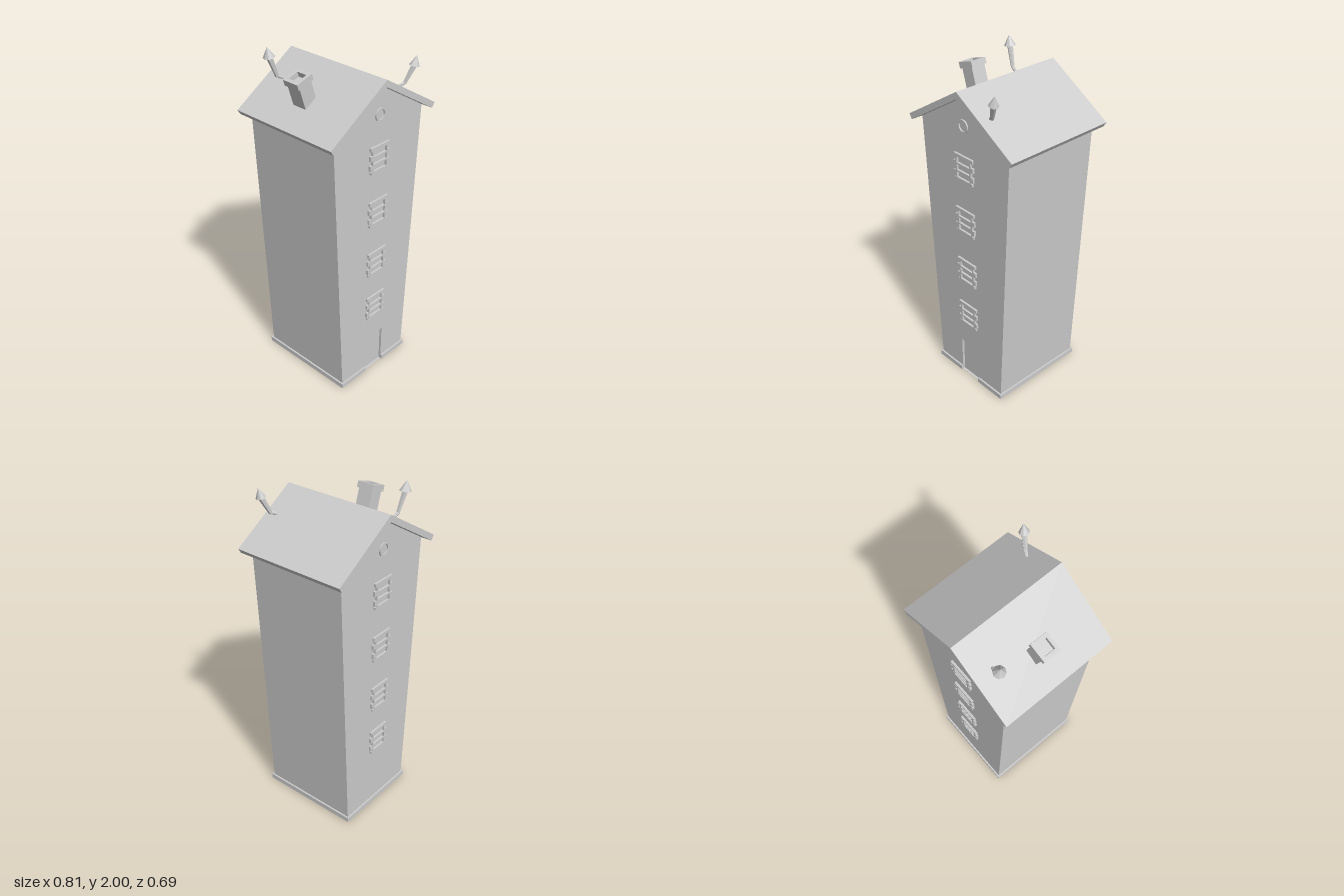
import * as THREE from 'three';

const material = new THREE.MeshStandardMaterial({ color: 0xcccccc, flatShading: true, side: THREE.DoubleSide });

function add(parent, name, geometry, x = 0, y = 0, z = 0) {
  const mesh = new THREE.Mesh(geometry, material);
  mesh.name = name;
  mesh.position.set(x, y, z);
  parent.add(mesh);
  return mesh;
}

const polygon = (points) => new THREE.Shape(points.map(([x, y]) => new THREE.Vector2(x, y)));
const rectangle = (w, h, y = 0) => polygon([[-w, y], [w, y], [w, y + h], [-w, y + h]]);
const extrude = (shape, depth) => new THREE.ExtrudeGeometry(shape, { depth, bevelEnabled: false, curveSegments: 8 });

// Outline given by its right half, mirrored to the left
function mirrored(half) {
  return polygon([...half, ...half.slice().reverse().map(([x, y]) => [-x, y])]);
}

// Tapered round bar between two points
function bar(parent, name, a, b, rA, rB, sides) {
  const dir = b.clone().sub(a);
  const mid = a.clone().add(b).multiplyScalar(0.5);
  const mesh = add(parent, name, new THREE.CylinderGeometry(rB, rA, dir.length(), sides), mid.x, mid.y, mid.z);
  mesh.quaternion.setFromUnitVectors(new THREE.Vector3(0, 1, 0), dir.normalize());
}

// Window surround with stepped side blocks and three openings
function windowGeometry() {
  const half = [
    [0.07, -0.079], [0.07, -0.064], [0.061, -0.064], [0.061, -0.054],
    [0.078, -0.054], [0.078, -0.024], [0.061, -0.024], [0.061, 0.004],
    [0.078, 0.004], [0.078, 0.034], [0.061, 0.034], [0.061, 0.058],
    [0.074, 0.058], [0.074, 0.079],
  ];
  const shape = mirrored(half);
  for (const y of [-0.062, -0.018, 0.026]) shape.holes.push(rectangle(0.05, 0.034, y));
  return extrude(shape, 0.013);
}

// Bent roof pipe with a pointed cap
function roofPipe(points, capRadius) {
  const group = new THREE.Group();
  group.name = 'roofPipe';
  const [foot, elbow, top, tip] = points.map((p) => new THREE.Vector3(...p));
  bar(group, 'pipeFoot', foot, elbow, 0.008, 0.011, 6);
  bar(group, 'pipeStem', elbow, top, 0.011, 0.017, 6);
  bar(group, 'pipeCap', top, tip, capRadius, 0, 8);
  return group;
}

export function createModel() {
  const model = new THREE.Group();
  const depth = 0.305, thick = 0.015, door = 0.077;

  // Hollow tower, flaring upward and open underneath
  const sides = mirrored([[0.271, 0], [0.344, 1.66], [0, 1.873]]);
  sides.holes.push(mirrored([[0.259, 0.0005], [0.331, 1.652], [0, 1.857]]));
  add(model, 'sideWalls', extrude(sides, depth * 2), 0, 0, -depth);
  add(model, 'backWall', extrude(mirrored([[0.271, 0], [0.344, 1.66], [0, 1.873]]), thick), 0, 0, -depth);
  const front = mirrored([[door, 0.245], [door, 0], [0.271, 0], [0.344, 1.66], [0, 1.873]]);
  add(model, 'frontWall', extrude(front, thick), 0, 0, depth - thick);
  add(model, 'door', new THREE.BoxGeometry(door * 2 + 0.01, 0.25, 0.006), 0, 0.125, depth - thick - 0.003);

  // Base trim, interrupted at the door
  const baseX = 0.283, baseZ = 0.316, rim = 0.024;
  for (const s of [-1, 1]) {
    add(model, 'baseSide', new THREE.BoxGeometry(rim, 0.03, baseZ * 2), s * (baseX - rim / 2), 0.015, 0);
    add(model, 'baseFront', new THREE.BoxGeometry(baseX - door, 0.03, rim),
      s * (baseX + door) / 2, 0.015, baseZ - rim / 2);
  }
  add(model, 'baseBack', new THREE.BoxGeometry(baseX * 2, 0.03, rim), 0, 0.015, -baseZ + rim / 2);

  // Gabled roof slab
  const roof = polygon([[0, 1.915], [-0.405, 1.665], [-0.386, 1.636], [0, 1.875], [0.386, 1.636], [0.405, 1.665]]);
  add(model, 'roof', extrude(roof, 0.693), 0, 0, -0.3465);

  // Windows and round gable vents on both faces
  const surround = windowGeometry();
  const ring = new THREE.Shape().absarc(0, 0, 0.038, 0, Math.PI * 2);
  ring.holes.push(new THREE.Path().absarc(0, 0, 0.029, 0, Math.PI * 2, true));
  const vent = extrude(ring, 0.008);
  for (const turn of [0, Math.PI]) {
    const face = new THREE.Group();
    face.name = turn ? 'backWindows' : 'frontWindows';
    face.rotation.y = turn;
    for (const y of [0.479, 0.792, 1.132, 1.465]) add(face, 'window', surround, 0, y, depth);
    add(face, 'gableVent', vent, 0, 1.715, depth);
    model.add(face);
  }

  // Leaning chimney, its origin at the top of the cap
  const chimney = new THREE.Group();
  chimney.name = 'chimney';
  chimney.position.set(-0.282, 1.915, -0.004);
  chimney.rotation.z = 0.3;
  const cap = rectangle(0.054, 0.102, -0.051);
  cap.holes.push(rectangle(0.032, 0.064, -0.032));
  add(chimney, 'chimneyCap', extrude(cap, 0.035), 0, -0.035, 0).rotation.x = -Math.PI / 2;
  add(chimney, 'chimneyStack', new THREE.BoxGeometry(0.084, 0.17, 0.09), 0, -0.115, 0);
  model.add(chimney);

  // Two crooked pipes
  model.add(roofPipe([[0.173, 1.808, 0.275], [0.205, 1.82, 0.292], [0.246, 1.912, 0.317], [0.26, 1.967, 0.322]], 0.029));
  model.add(roofPipe([[-0.167, 1.808, -0.235], [-0.207, 1.83, -0.24], [-0.245, 1.943, -0.254], [-0.256, 2.0, -0.255]], 0.034));
  return model;
}
